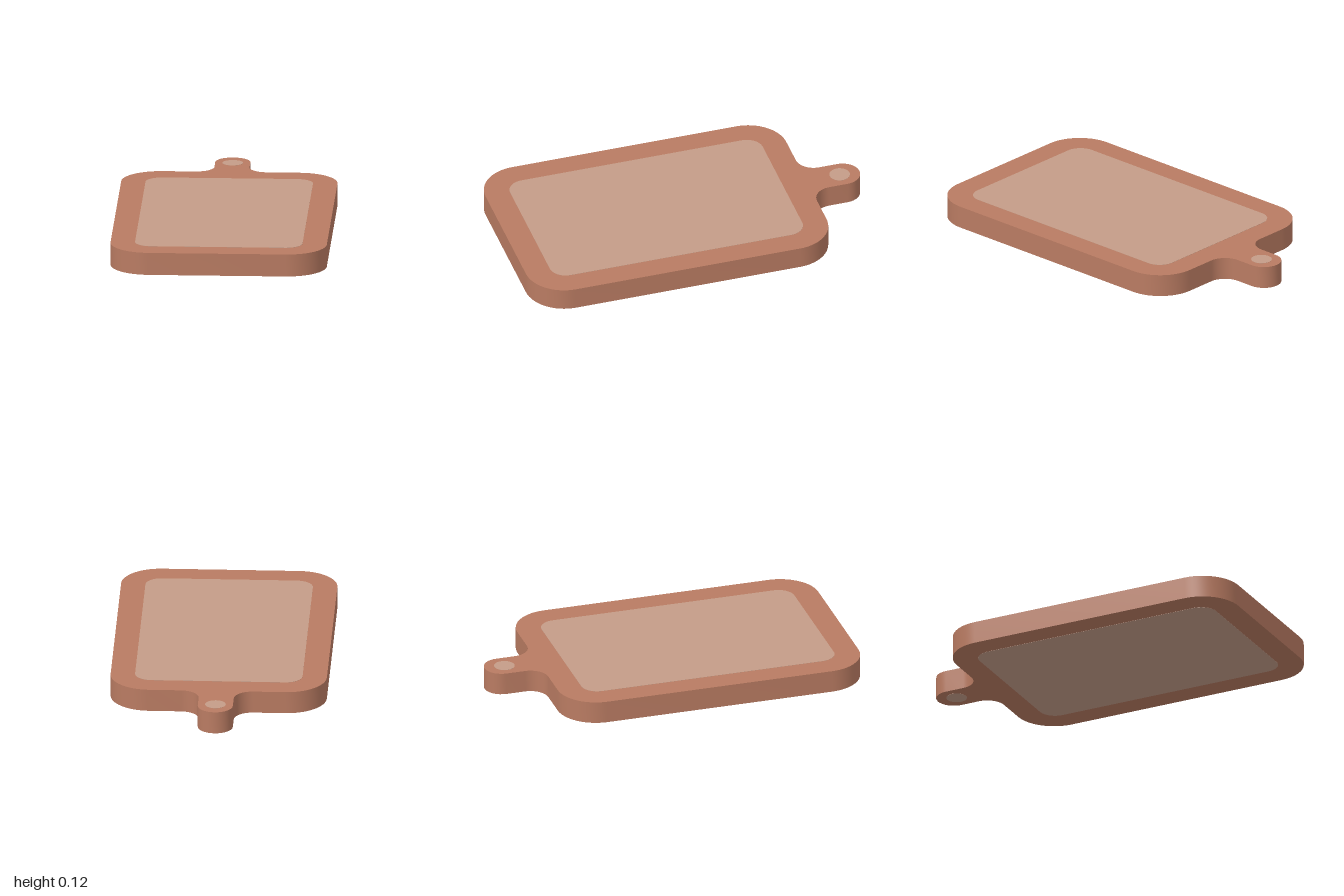
import * as THREE from 'three';
import { toCreasedNormals } from 'three/addons/utils/BufferGeometryUtils.js';

const HEIGHT = 0.125, SKIN = 0.001;

// Extrude a plan outline (shape y = -z) upward between two heights
function slab(name, shape, y0, y1, material, curveSegments) {
  let geo = new THREE.ExtrudeGeometry(shape, { depth: y1 - y0, bevelEnabled: false, curveSegments });
  geo.rotateX(-Math.PI / 2);
  geo.translate(0, y0, 0);
  geo = toCreasedNormals(geo, 0.7);
  const mesh = new THREE.Mesh(geo, material);
  mesh.name = name;
  return mesh;
}

// Rounded rectangle with its centre at (0, cy)
function roundedRect(hw, hh, cy, r) {
  const s = new THREE.Shape();
  const corners = [[1, 1], [-1, 1], [-1, -1], [1, -1]];
  corners.forEach(([sx, sy], i) =>
    s.absarc(sx * (hw - r), cy + sy * (hh - r), r, i * Math.PI / 2, (i + 1) * Math.PI / 2, false));
  s.closePath();
  return s;
}

// Board with rounded corners, flowing through fillets into the handle
function boardOutline() {
  const P = Math.PI, s = new THREE.Shape();
  s.absarc(0.37, 0.485, 0.215, 0, P / 2, false);
  s.absarc(0.195, 0.8, 0.1, -P / 2, -P, true);
  s.absarc(0, 0.905, 0.095, 0, P, false);
  s.absarc(-0.195, 0.8, 0.1, 0, -P / 2, true);
  s.absarc(-0.37, 0.485, 0.215, P / 2, P, false);
  s.absarc(-0.37, -0.785, 0.215, P, 1.5 * P, false);
  s.absarc(0.37, -0.785, 0.215, 1.5 * P, 2 * P, false);
  s.closePath();
  return s;
}

export function createModel() {
  const wood = new THREE.MeshStandardMaterial({ color: 0xb97b62 });
  wood.name = 'wood';
  const paleWood = new THREE.MeshStandardMaterial({ color: 0xc49c88 });
  paleWood.name = 'pale wood';

  const group = new THREE.Group();
  group.name = 'cuttingBoard';
  group.add(slab('board', boardOutline(), SKIN, HEIGHT - SKIN, wood, 8));

  // Pale inlays, visible on both the top and the underside
  const panel = roundedRect(0.453, 0.714, -0.149, 0.09);
  const dot = new THREE.Shape().absarc(0, 0.888, 0.056, 0, Math.PI * 2, false);
  for (const [side, y] of [['top', HEIGHT - 2 * SKIN], ['bottom', 0]]) {
    group.add(slab(side + 'Panel', panel, y, y + 2 * SKIN, paleWood, 6));
    group.add(slab(side + 'HandleDot', dot, y, y + 2 * SKIN, paleWood, 12));
  }
  return group;
}
